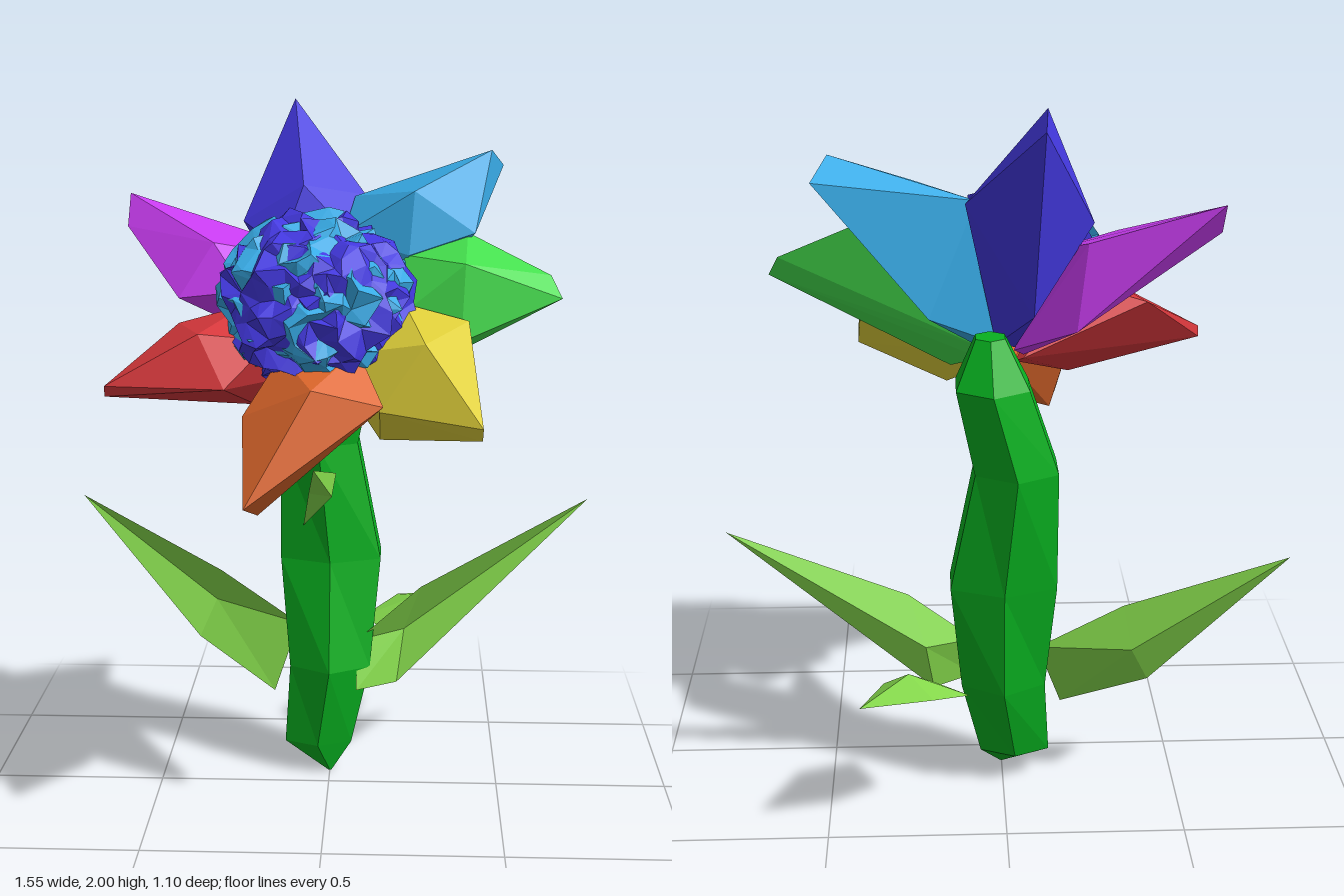
import * as THREE from 'three';
import { mergeVertices } from 'three/addons/utils/BufferGeometryUtils.js';
import { ConvexGeometry } from 'three/addons/geometries/ConvexGeometry.js';

const V = (p) => new THREE.Vector3(...p);
const FACING = new THREE.Vector3(0, 1, 1).normalize(); // the way the blossom looks
const HEART = new THREE.Vector3(0, 1.4, -0.03); // middle of the petal ring
const ROOT = new THREE.Vector3(0, 1.24, -0.09); // where the petals join the stem

function makeMesh(name, geometry, color, side = THREE.FrontSide) {
  const material = new THREE.MeshStandardMaterial({ color, flatShading: true, side });
  const mesh = new THREE.Mesh(geometry, material);
  mesh.name = name;
  return mesh;
}

function fromTriangles(corners) {
  const g = new THREE.BufferGeometry().setFromPoints(corners);
  g.computeVertexNormals();
  return g;
}

// Faceted stalk: six-sided rings [y, centre x, centre z, half width, half depth], pointed at the foot
function stemGeometry() {
  const sides = 6;
  const rows = [
    [0, 0, -0.09, 0.005, 0.005], [0.09, -0.035, -0.14, 0.1, 0.09], [0.33, 0, -0.165, 0.12, 0.145],
    [0.65, 0, -0.215, 0.15, 0.12], [1, -0.035, -0.235, 0.115, 0.13],
    [1.24, 0.03, -0.235, 0.1, 0.125], [1.37, 0.035, -0.215, 0.04, 0.05],
  ];
  const rings = rows.map(([y, cx, cz, rx, rz]) => Array.from({ length: sides }, (_, i) => {
    const a = (i / sides) * Math.PI * 2;
    return new THREE.Vector3(cx + Math.sin(a) * rx * 1.15, y, cz + Math.cos(a) * rz);
  }));
  const tris = [];
  for (let r = 0; r < rings.length - 1; r++) {
    const [a, b] = [rings[r], rings[r + 1]];
    for (let i = 0; i < sides; i++) {
      const j = (i + 1) % sides;
      tris.push(a[i], a[j], b[i], a[j], b[j], b[i]);
    }
  }
  const top = rings[rings.length - 1];
  for (let i = 1; i < sides - 1; i++) tris.push(top[0], top[i], top[i + 1]);
  return fromTriangles(tris);
}

// Folded leaf: two base corners, two belly corners and a tip, with a sunken crease down the middle
function leafGeometry(points) {
  const [baseA, baseB, bellyA, bellyB, tip] = points.map(V);
  const base = baseA.clone().lerp(baseB, 0.5);
  const sink = bellyA.clone().sub(bellyB).cross(tip.clone().sub(base)).setLength(0.05);
  const crease = bellyA.clone().lerp(bellyB, 0.5).add(sink);
  const half = (b, belly) => [b, base, crease, b, crease, belly, belly, crease, tip];
  return fromTriangles([...half(baseA, bellyA), ...half(baseB, bellyB)]);
}

// Faceted petal: two tip corners, two shoulders and a keel behind, narrowing to the root
function petalGeometry(points) {
  const corners = points.map(V);
  const [, , shoulderA, shoulderB] = corners;
  const middle = shoulderA.clone().lerp(shoulderB, 0.5);
  corners.push(middle.addScaledVector(FACING, 0.1));
  for (const shoulder of [shoulderA, shoulderB]) {
    corners.push(shoulder.clone().lerp(HEART, 0.45).addScaledVector(FACING, 0.07));
    corners.push(shoulder.clone().lerp(ROOT, 0.5));
    corners.push(shoulder.clone().lerp(ROOT, 0.85));
  }
  return new ConvexGeometry(corners);
}

// Crumpled ball for the flower's middle, flattened along its facing direction
function crumpledBall(size, seed) {
  let s = seed;
  const rand = () => (s = (s * 16807) % 2147483647) / 2147483647;
  let g = new THREE.IcosahedronGeometry(1, 5);
  g.deleteAttribute('normal');
  g.deleteAttribute('uv');
  g = mergeVertices(g, 1e-3);
  const p = g.attributes.position;
  const v = new THREE.Vector3();
  for (let i = 0; i < p.count; i++) {
    v.fromBufferAttribute(p, i);
    v.x += (rand() - 0.5) * 0.16;
    v.y += (rand() - 0.5) * 0.16;
    v.z += (rand() - 0.5) * 0.16;
    v.setLength(0.82 + rand() * 0.26);
    p.setXYZ(i, v.x, v.y, v.z);
  }
  g.scale(0.265 * size, 0.265 * size, 0.195 * size);
  g.rotateX(-Math.PI / 4);
  g.translate(-0.03, 1.475, 0.14);
  g.computeVertexNormals();
  return g;
}

// Each petal: two tip corners, two shoulders, then the keel
const petals = {
  topPetal: [0x4338e0, [-0.11, 2, -0.31], [-0.1, 1.96, -0.43], [0.1, 1.73, -0.2], [-0.25, 1.66, -0.13], [-0.08, 1.44, -0.28]],
  upperLeftPetal: [0x38abe6, [0.46, 1.86, -0.18], [0.5, 1.81, -0.3], [0.41, 1.64, -0.01], [0.07, 1.73, -0.16], [0.2, 1.42, -0.22]],
  leftPetal: [0x45e04e, [0.62, 1.53, 0.04], [0.65, 1.47, 0.08], [0.39, 1.64, -0.03], [0.37, 1.36, 0.16], [0.14, 1.2, 0.07]],
  lowerLeftPetal: [0xe0d03a, [0.42, 1.19, 0.51], [0.42, 1.15, 0.47], [0.39, 1.42, 0.17], [0.15, 1.2, 0.35], [0.15, 1.1, 0.23]],
  bottomPetal: [0xe0682c, [-0.2, 0.98, 0.55], [-0.17, 0.94, 0.45], [0.16, 1.22, 0.38], [-0.22, 1.18, 0.32], [-0.03, 1.06, 0.2]],
  lowerRightPetal: [0xd8383c, [-0.6, 1.25, 0.27], [-0.6, 1.22, 0.26], [-0.27, 1.25, 0.31], [-0.42, 1.39, 0.04], [-0.2, 1.17, 0.1]],
  upperRightPetal: [0xc83cf0, [-0.59, 1.73, -0.24], [-0.59, 1.64, -0.17], [-0.42, 1.46, 0.04], [-0.23, 1.62, -0.2], [-0.2, 1.38, -0.22]],
};

// Each leaf: two base corners, two belly corners, tip
const leaves = {
  leftLeaf: [[0.08, 0.41, -0.1], [0.08, 0.27, -0.05], [0.27, 0.57, -0.13], [0.2, 0.27, -0.13], [0.77, 0.82, -0.24]],
  rightLeaf: [[-0.17, 0.23, -0.15], [-0.1, 0.43, -0.2], [-0.41, 0.36, -0.27], [-0.34, 0.58, -0.25], [-0.78, 0.78, -0.38]],
  backLeaf: [[0.2, 0.35, -0.25], [0.1, 0.39, -0.41], [0.34, 0.39, -0.33], [0.2, 0.43, -0.51], [0.4, 0.43, -0.55]],
  frontLeaf: [[0, 0.9, -0.12], [-0.08, 0.76, -0.12], [0.02, 0.94, -0.04], [-0.06, 0.88, -0.03], [-0.04, 0.98, 0.1]],
};

export function createModel() {
  const model = new THREE.Group();
  model.name = 'flower';
  model.add(makeMesh('stem', stemGeometry(), 0x08b020));

  for (const [name, points] of Object.entries(leaves)) {
    model.add(makeMesh(name, leafGeometry(points), 0x86da4c, THREE.DoubleSide));
  }

  const blossom = new THREE.Group();
  blossom.name = 'blossom';
  for (const [name, [color, ...points]] of Object.entries(petals)) {
    blossom.add(makeMesh(name, petalGeometry(points), color));
  }
  // Two crumpled balls push through each other for the speckled middle
  blossom.add(makeMesh('flowerCentre', crumpledBall(1, 71), 0x4338e0));
  blossom.add(makeMesh('flowerCentreSpeckles', crumpledBall(0.98, 4242), 0x38abe6));
  model.add(blossom);
  return model;
}
